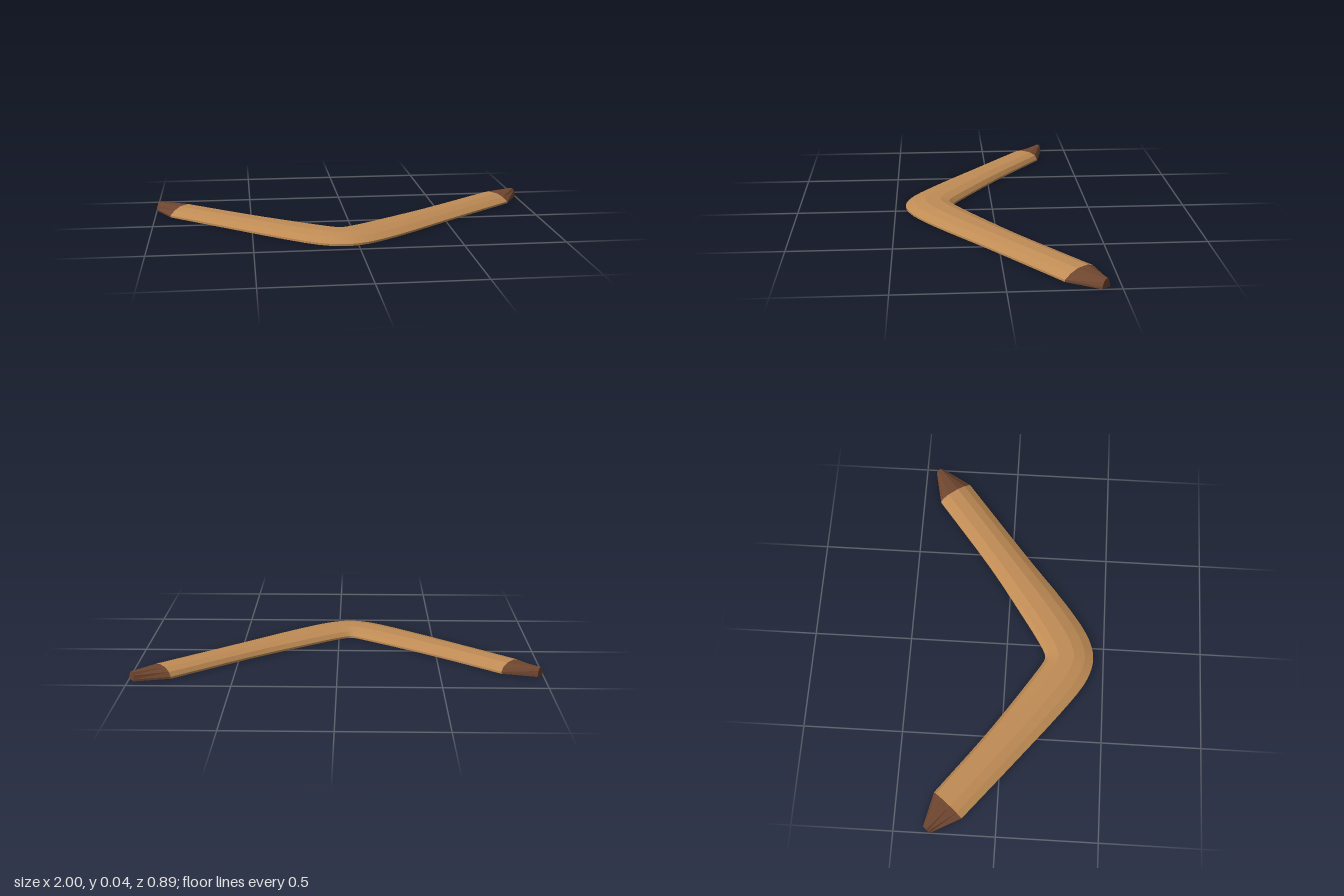
import * as THREE from 'three';

// Cross-section: [fraction from outer to inner edge, height]
const PROFILE = [[0, 0], [0, 0.01], [0.18, 0.03], [0.41, 0.043], [0.73, 0.043], [0.92, 0.03], [1, 0.01], [1, 0]];

// Matching plan points [x, z] along the outer and inner edges
const OUTER = [[-0.92, -0.17], [-0.6, 0.095], [-0.36, 0.29], [-0.2, 0.405], [-0.115, 0.44], [-0.06, 0.447],
  [-0.005, 0.44], [0.08, 0.405], [0.23, 0.30], [0.5, 0.075], [0.915, -0.26]];
const INNER = [[-0.8, -0.315], [-0.5, -0.085], [-0.3, 0.055], [-0.15, 0.155], [-0.09, 0.192], [-0.063, 0.2],
  [-0.035, 0.192], [0.03, 0.155], [0.17, 0.062], [0.42, -0.112], [0.8, -0.41]];

const smoothEdge = (pts) =>
  new THREE.CatmullRomCurve3(pts.map(([x, z]) => new THREE.Vector3(x, 0, z))).getSpacedPoints
    ? new THREE.CatmullRomCurve3(pts.map(([x, z]) => new THREE.Vector3(x, 0, z))) : null;

function ring([outer, inner]) {
  return PROFILE.map(([u, y]) => [
    outer[0] + (inner[0] - outer[0]) * u, y, outer[1] + (inner[1] - outer[1]) * u]);
}

// Skin a row of stations (ordered towards +x) and close the ends
function loft(stations, material, name) {
  const rings = stations.map(ring);
  const n = PROFILE.length;
  const pos = [];
  const tri = (a, b, c) => pos.push(...a, ...b, ...c);
  for (let i = 0; i < rings.length - 1; i++) {
    for (let j = 0; j < n; j++) {
      const k = (j + 1) % n;
      const a = rings[i][j], b = rings[i][k], c = rings[i + 1][k], d = rings[i + 1][j];
      tri(a, d, c);
      tri(a, c, b);
    }
  }
  const first = rings[0], last = rings[rings.length - 1];
  for (let j = 1; j < n - 1; j++) {
    tri(first[0], first[j], first[j + 1]);
    tri(last[0], last[j + 1], last[j]);
  }
  const geo = new THREE.BufferGeometry();
  geo.setAttribute('position', new THREE.Float32BufferAttribute(pos, 3));
  geo.computeVertexNormals();
  const mesh = new THREE.Mesh(geo, material);
  mesh.name = name;
  return mesh;
}

export function createModel() {
  const wood = new THREE.MeshStandardMaterial({ name: 'light wood', color: 0xc08c55 });
  const darkWood = new THREE.MeshStandardMaterial({ name: 'dark wood', color: 0x6f4630 });
  const group = new THREE.Group();
  group.name = 'boomerang';

  // Bent body
  const outer = smoothEdge(OUTER), inner = smoothEdge(INNER);
  const steps = 30;
  const body = [];
  for (let i = 0; i <= steps; i++) {
    const o = outer.getPoint(i / steps), p = inner.getPoint(i / steps);
    body.push([[o.x, o.z], [p.x, p.z]]);
  }
  group.add(loft(body, wood, 'body'));

  // Tapered dark tips
  group.add(loft([[[-1, -0.32], [-0.97, -0.355]], body[0]], darkWood, 'rightTip'));
  group.add(loft([body[steps], [[1, -0.41], [0.97, -0.447]]], darkWood, 'leftTip'));
  return group;
}
